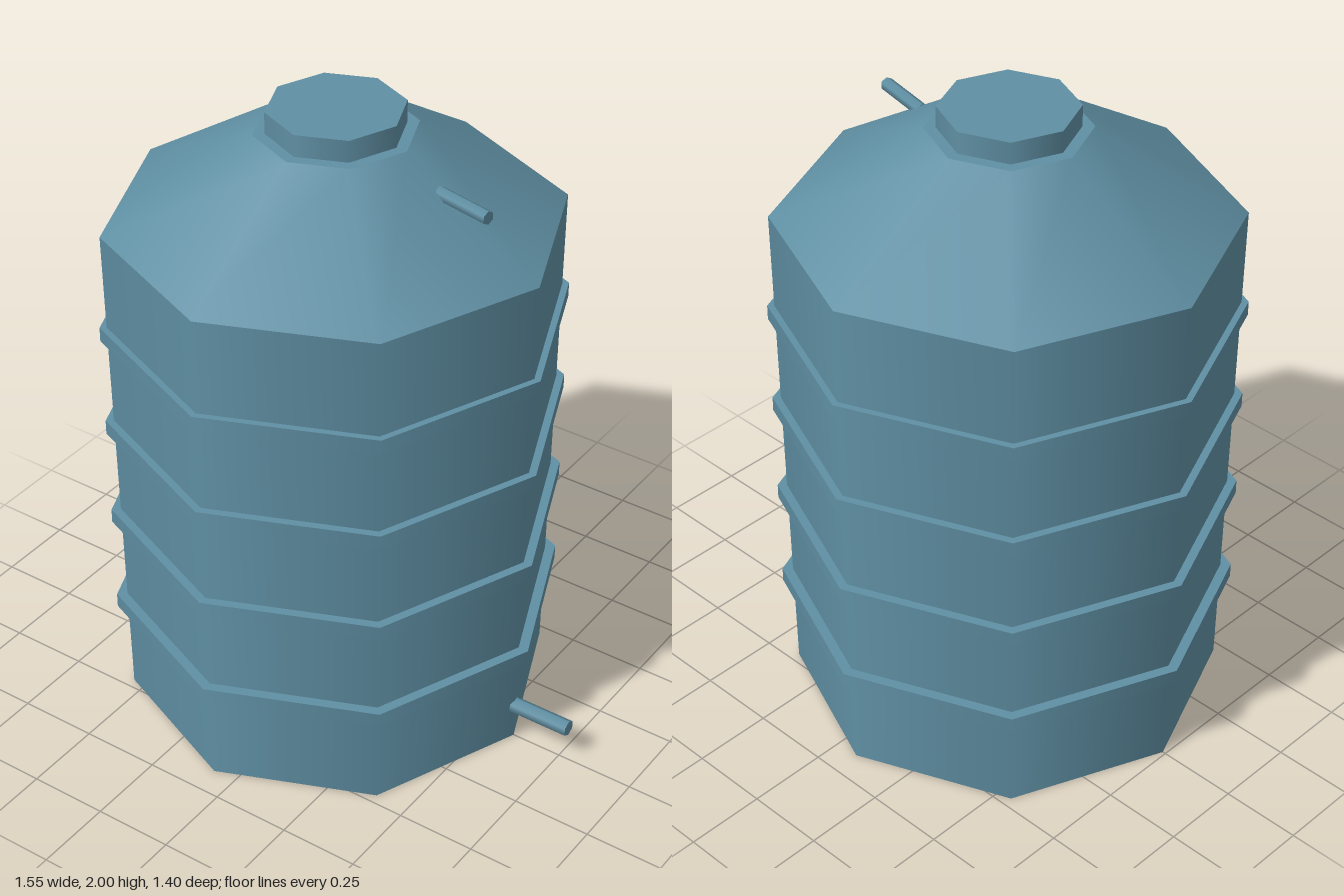
import * as THREE from 'three';

const SIDES = 8;
const AXIS_X = -0.077; // tank axis, offset because the outlet pipe sticks out on one side

export function createModel() {
  const model = new THREE.Group();
  model.name = 'waterTank';
  const material = new THREE.MeshStandardMaterial({ color: 0x5f8fa3 });
  const shell = new THREE.MeshStandardMaterial({ color: 0x5f8fa3, side: THREE.DoubleSide });

  // Upright octagonal section between two heights
  function section(name, rBottom, rTop, y0, y1, open = false) {
    const geo = new THREE.CylinderGeometry(rTop, rBottom, y1 - y0, SIDES, 1, open);
    const mesh = new THREE.Mesh(geo, open ? shell : material);
    mesh.name = name;
    mesh.position.set(AXIS_X, (y0 + y1) / 2, 0);
    model.add(mesh);
  }

  // Straight hexagonal pipe between two points
  function pipe(name, radius, from, to) {
    const dir = to.clone().sub(from);
    const geo = new THREE.CylinderGeometry(radius, radius, dir.length(), 6);
    geo.rotateZ(-Math.PI / 2);
    geo.rotateX(Math.PI / 2);
    const mesh = new THREE.Mesh(geo, material);
    mesh.name = name;
    mesh.position.copy(from).add(to).multiplyScalar(0.5);
    mesh.quaternion.setFromUnitVectors(new THREE.Vector3(1, 0, 0), dir.normalize());
    model.add(mesh);
  }

  // Slightly flared body, open underneath
  section('body', 0.663, 0.683, 0, 1.645, true);

  // Solid reinforcing bands
  for (let i = 0; i < 4; i++) {
    const y = 0.331 + i * 0.329;
    section('band' + (i + 1), 0.7, 0.7, y - 0.023, y + 0.023);
  }

  // Sloped roof and lid
  section('roof', 0.683, 0.24, 1.645, 1.932);
  section('lid', 0.204, 0.204, 1.932, 2);

  // Outlet near the ground, inlet through the roof
  pipe('outletPipe', 0.026, new THREE.Vector3(0.57, 0.12, -0.003), new THREE.Vector3(0.777, 0.12, -0.003));
  pipe('inletPipe', 0.021, new THREE.Vector3(0.275, 1.841, 0.006), new THREE.Vector3(0.462, 1.841, 0.046));

  return model;
}
